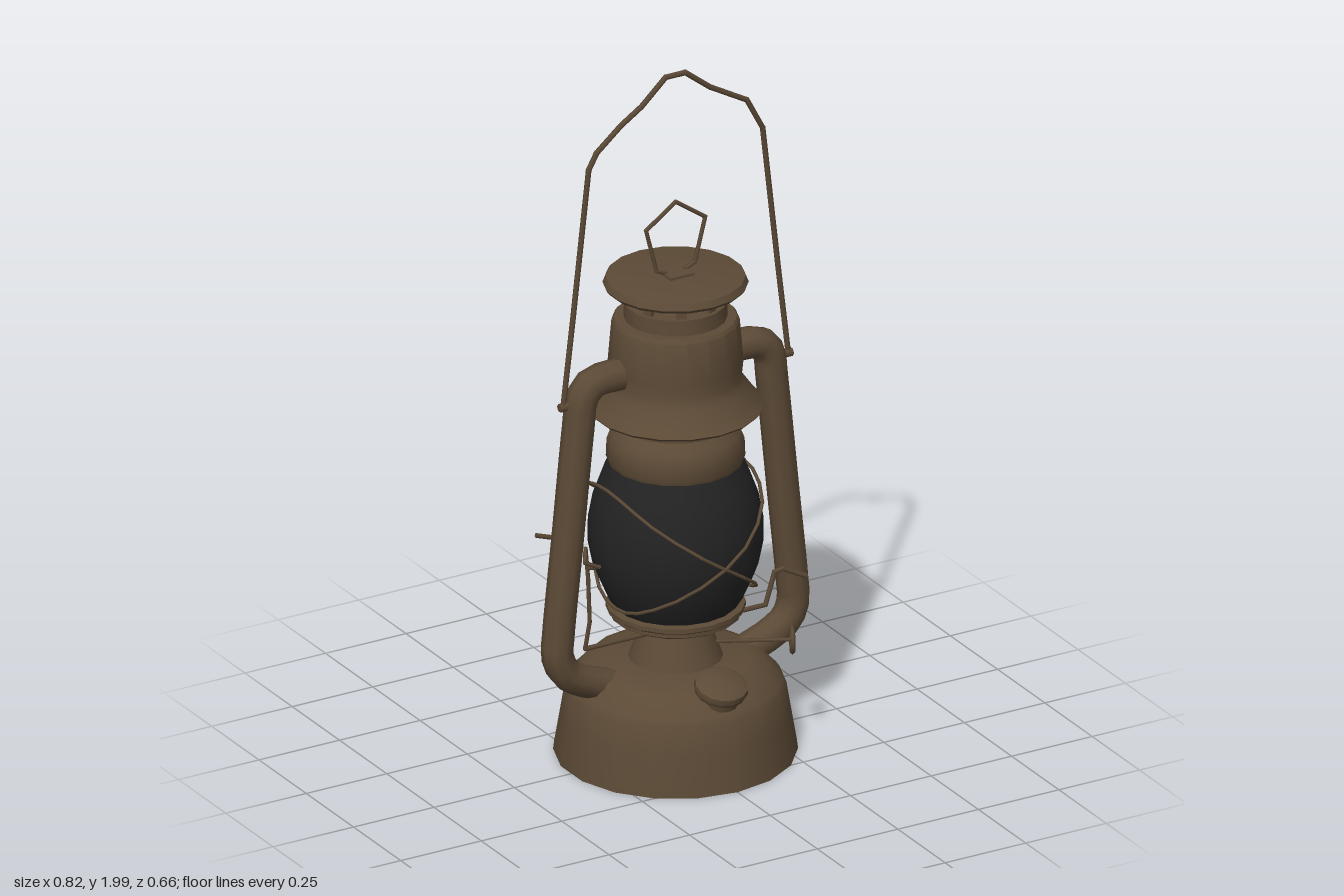
import * as THREE from 'three';
import { mergeGeometries, toCreasedNormals } from 'three/addons/utils/BufferGeometryUtils.js';

const V = (x, y, z = 0) => new THREE.Vector3(x, y, z);

export function createModel() {
  const root = new THREE.Group();
  const metal = new THREE.MeshStandardMaterial({ color: 0x5c4a36 });
  metal.name = 'weatheredMetal';
  const glass = new THREE.MeshStandardMaterial({ color: 0x232323 });
  glass.name = 'sootyGlass';

  const add = (name, geo, mat = metal, parent = root) => {
    const m = new THREE.Mesh(geo, mat);
    m.name = name;
    parent.add(m);
    return m;
  };
  // Turned part from [radius, height] pairs, listed from the bottom up
  const turned = (name, pts, mat = metal, sides = 18) =>
    add(name, toCreasedNormals(
      new THREE.LatheGeometry(pts.map(p => new THREE.Vector2(...p)), sides), 0.6), mat);
  // Bent wire made of straight rods between points
  const wire = (name, pts, r, sides = 5) => {
    const rods = [];
    for (let i = 0; i < pts.length - 1; i++) {
      const d = pts[i + 1].clone().sub(pts[i]);
      const g = new THREE.CylinderGeometry(r, r, d.length() + r, sides);
      g.applyQuaternion(new THREE.Quaternion().setFromUnitVectors(V(0, 1), d.clone().normalize()));
      const c = pts[i].clone().add(pts[i + 1]).multiplyScalar(0.5);
      rods.push(g.translate(c.x, c.y, c.z));
    }
    return add(name, mergeGeometries(rods));
  };

  // Fuel tank with a hollowed underside
  turned('fuelTank', [[0, 0.05], [0.2, 0.04], [0.31, 0.005], [0.328, 0.005], [0.325, 0.03],
    [0.31, 0.12], [0.297, 0.2], [0.287, 0.215], [0.24, 0.265], [0.2, 0.28], [0, 0.285]]);
  turned('burner', [[0.13, 0.275], [0.125, 0.29], [0.095, 0.37], [0.1, 0.38], [0.12, 0.385],
    [0.12, 0.4], [0, 0.405]]);
  turned('globeSeat', [[0, 0.4], [0.165, 0.402], [0.178, 0.41], [0.178, 0.42], [0.188, 0.427],
    [0.188, 0.44], [0.16, 0.445]]);

  // Globe
  const globe = [[0.165, 0.435], [0.19, 0.475], [0.222, 0.55], [0.236, 0.62], [0.235, 0.69],
    [0.222, 0.76], [0.2, 0.82], [0.182, 0.86]];
  turned('globe', globe, glass);

  // Collar, hood and chimney
  turned('collar', [[0, 0.855], [0.18, 0.855], [0.187, 0.87], [0.185, 0.92], [0.175, 0.945],
    [0.152, 0.97], [0.147, 1.03]]);
  turned('hood', [[0.14, 1.03], [0.23, 1.012], [0.237, 1.02], [0.22, 1.04], [0.188, 1.085],
    [0.178, 1.11], [0.182, 1.15], [0.172, 1.27], [0.165, 1.28], [0, 1.285]]);
  turned('chimneyBand', [[0.14, 1.275], [0.138, 1.325], [0.1, 1.325]]);
  turned('chimneyCore', [[0.1, 1.285], [0.042, 1.325], [0.042, 1.375]], metal, 10);
  const posts = new THREE.Group();
  posts.name = 'chimneyPosts';
  root.add(posts);
  for (let i = 0; i < 8; i++) {
    const a = (i + 0.5) * Math.PI / 4;
    const p = add('chimneyPost', new THREE.BoxGeometry(0.026, 0.06, 0.012), metal, posts);
    p.position.set(0.12 * Math.sin(a), 1.345, 0.12 * Math.cos(a));
    p.rotation.y = a;
  }
  turned('cap', [[0, 1.372], [0.15, 1.37], [0.188, 1.37], [0.196, 1.38], [0.188, 1.398],
    [0.17, 1.402], [0, 1.405]]);

  // Cap ring with its little bracket
  wire('capRing', [V(-0.03, 1.412), V(-0.06, 1.425), V(-0.092, 1.55), V(0, 1.615),
    V(0.092, 1.55), V(0.06, 1.425), V(0.03, 1.412)], 0.006);
  add('ringBracket', new THREE.BoxGeometry(0.074, 0.009, 0.074)).position.y = 1.407;

  // Air tubes on both sides, with bail lugs
  for (const s of [1, -1]) {
    const path = new THREE.CatmullRomCurve3([V(0.14, 1.145), V(0.22, 1.147), V(0.262, 1.14),
      V(0.29, 1.105), V(0.3, 1.03), V(0.334, 0.7), V(0.363, 0.42), V(0.366, 0.36),
      V(0.345, 0.31), V(0.295, 0.275), V(0.19, 0.235)].map(p => V(p.x * s, p.y)));
    add(s > 0 ? 'leftAirTube' : 'rightAirTube', new THREE.TubeGeometry(path, 36, 0.045, 9));
    wire('bailLug', [V(0.3 * s, 1.09), V(0.355 * s, 1.09)], 0.012, 6);
  }

  // Bail handle
  wire('bail', [V(-0.35, 1.085), V(-0.318, 1.35), V(-0.27, 1.77), V(-0.245, 1.815),
    V(-0.17, 1.878), V(-0.105, 1.92), V(-0.03, 1.989), V(0.03, 1.989), V(0.105, 1.93),
    V(0.22, 1.865), V(0.27, 1.77), V(0.318, 1.35), V(0.35, 1.085)], 0.008);

  // Two tilted guard wires crossing before and behind the globe
  const globeRadius = y => {
    for (let i = 1; i < globe.length; i++) {
      const [r0, y0] = globe[i - 1], [r1, y1] = globe[i];
      if (y <= y1) return r0 + (r1 - r0) * (y - y0) / (y1 - y0);
    }
    return 0.18;
  };
  for (const s of [1, -1]) {
    const pts = [];
    for (let i = 0; i <= 24; i++) {
      const a = i * Math.PI / 12;
      const y = 0.635 + 0.175 * s * Math.sin(a);
      const r = globeRadius(y) + 0.006 + 0.024 * Math.cos(a) ** 2;
      pts.push(V(r * Math.sin(a), y, r * Math.cos(a)));
    }
    wire('globeGuard', pts, 0.005);
  }

  // Globe lifting lever and side hook
  wire('liftLever', [V(-0.31, 0.39, 0.05), V(0.25, 0.39, 0.05), V(0.278, 0.48, 0.05),
    V(0.3, 0.487, 0.055), V(0.365, 0.455, 0.065)], 0.007);
  wire('sideHook', [V(-0.31, 0.39, 0.05), V(-0.302, 0.47, 0.06), V(-0.307, 0.6, 0.06),
    V(-0.315, 0.69, 0.06), V(-0.34, 0.67, 0.1), V(-0.3, 0.65, 0.105),
    V(-0.307, 0.63, 0.06)], 0.006);
  wire('hookArm', [V(-0.3, 0.67, -0.05), V(-0.395, 0.7, -0.06)], 0.007);

  // Wick shaft and knob
  wire('wickShaft', [V(0.06, 0.325, 0.05), V(0.265, 0.325, 0.155)], 0.006);
  const knob = add('wickKnob', new THREE.TorusGeometry(0.034, 0.007, 5, 10));
  knob.position.set(0.27, 0.325, 0.157);
  knob.rotation.y = 1.1;
  for (let i = 0; i < 2; i++) {
    const spoke = add('knobSpoke', new THREE.BoxGeometry(0.066, 0.008, 0.006), metal, knob);
    spoke.rotation.z = i * Math.PI / 2;
  }

  // Filler cap leaning forward on the tank shoulder
  const filler = turned('fillerCap', [[0.055, -0.04], [0.055, 0], [0.07, 0.004], [0.074, 0.015],
    [0.072, 0.03], [0.055, 0.04], [0, 0.043]], metal, 14);
  filler.position.set(0, 0.262, 0.235);
  filler.rotation.x = 0.3;

  return root;
}
